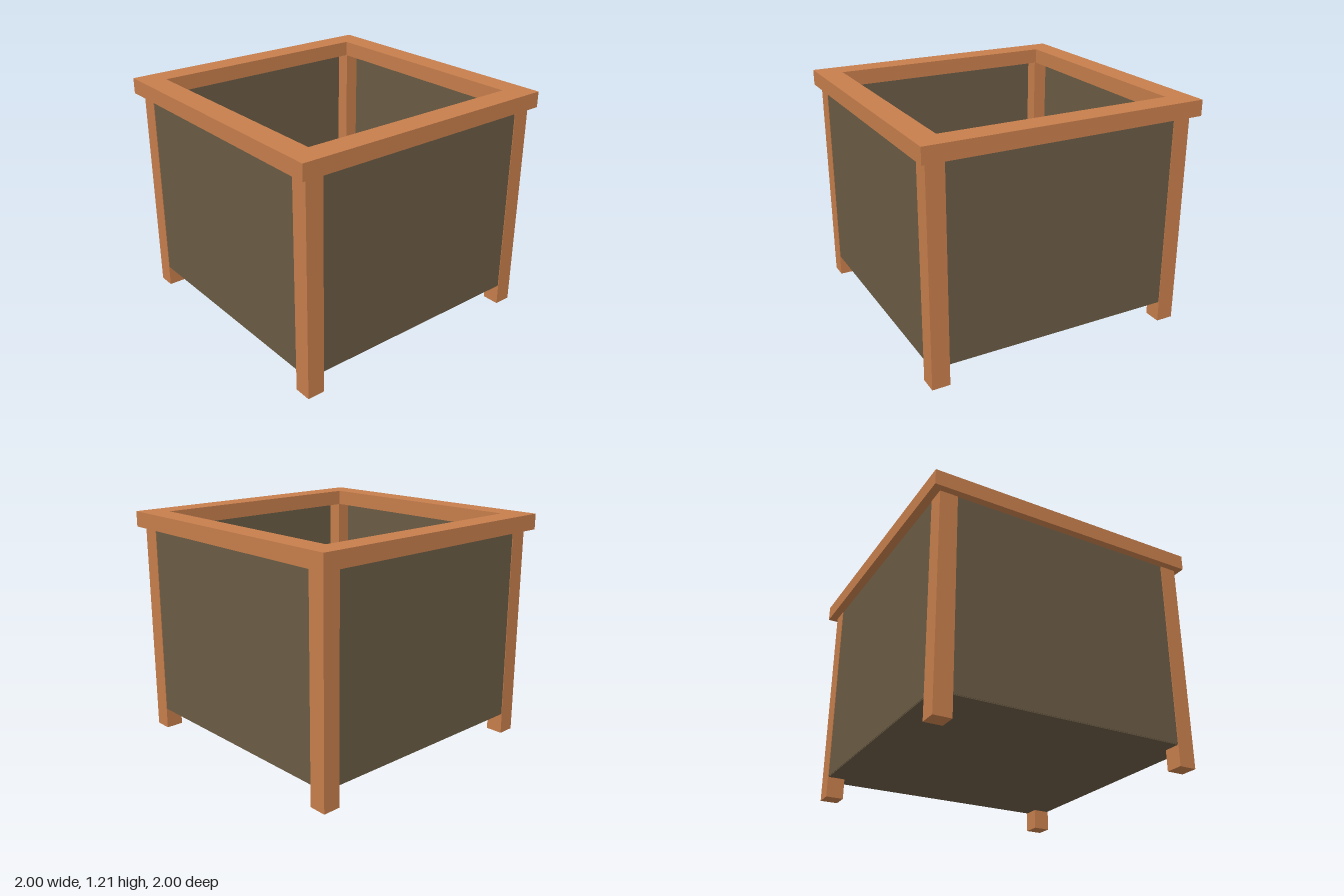
import * as THREE from 'three';

export function createModel() {
  const wood = new THREE.MeshStandardMaterial({ color: 0xc67e4c });
  wood.name = 'warm wood';
  const lining = new THREE.MeshStandardMaterial({ color: 0x6a5b44 });
  lining.name = 'dark panel';

  const RIM = 0.74, HOLE = 0.614;          // half sizes of the rim
  const LEG = 0.093, OUT = 0.704;          // leg width, half size over the legs
  const BASE = 0.11, TOP = 1.128, HEIGHT = 1.21;
  const PANEL = 0.012, FACE = 0.701;       // panel thickness, outer face

  const model = new THREE.Group();
  model.name = 'planterBox';
  const turned = new THREE.Group();
  turned.name = 'box';
  turned.rotation.y = 0.485;
  model.add(turned);

  const body = new THREE.Group();
  body.name = 'body';
  turned.add(body);
  body.position.set(0, 0, 0.006);

  function box(name, w, h, d, x, y, z, material, parent) {
    const mesh = new THREE.Mesh(new THREE.BoxGeometry(w, h, d), material);
    mesh.name = name;
    mesh.position.set(x, y, z);
    parent.add(mesh);
  }

  // One leg and one side panel for each quarter turn
  for (let i = 0; i < 4; i++) {
    const side = new THREE.Group();
    side.name = 'side' + (i + 1);
    side.rotation.y = i * Math.PI / 2;
    const c = OUT - LEG / 2;
    box('leg', LEG, TOP, LEG, c, TOP / 2, c, wood, side);
    box('sidePanel', 2 * (OUT - LEG) + 0.02, TOP - BASE - 0.004, PANEL,
      0, (TOP + BASE + 0.004) / 2, FACE - PANEL / 2, lining, side);
    body.add(side);
  }

  // Floor held between the legs
  box('floor', 2 * FACE - 0.004, 0.014, 2 * FACE - 0.004, 0, BASE + 0.007, 0, lining, body);

  // Square rim with an open middle
  const square = (path, s) => path.moveTo(-s, -s).lineTo(s, -s).lineTo(s, s).lineTo(-s, s).closePath();
  const shape = square(new THREE.Shape(), RIM);
  shape.holes.push(square(new THREE.Path(), HOLE));
  const rimGeometry = new THREE.ExtrudeGeometry(shape, { depth: HEIGHT - TOP, bevelEnabled: false });
  rimGeometry.rotateX(-Math.PI / 2);
  const rim = new THREE.Mesh(rimGeometry, wood);
  rim.name = 'topRim';
  rim.position.y = TOP;
  turned.add(rim);

  return model;
}
